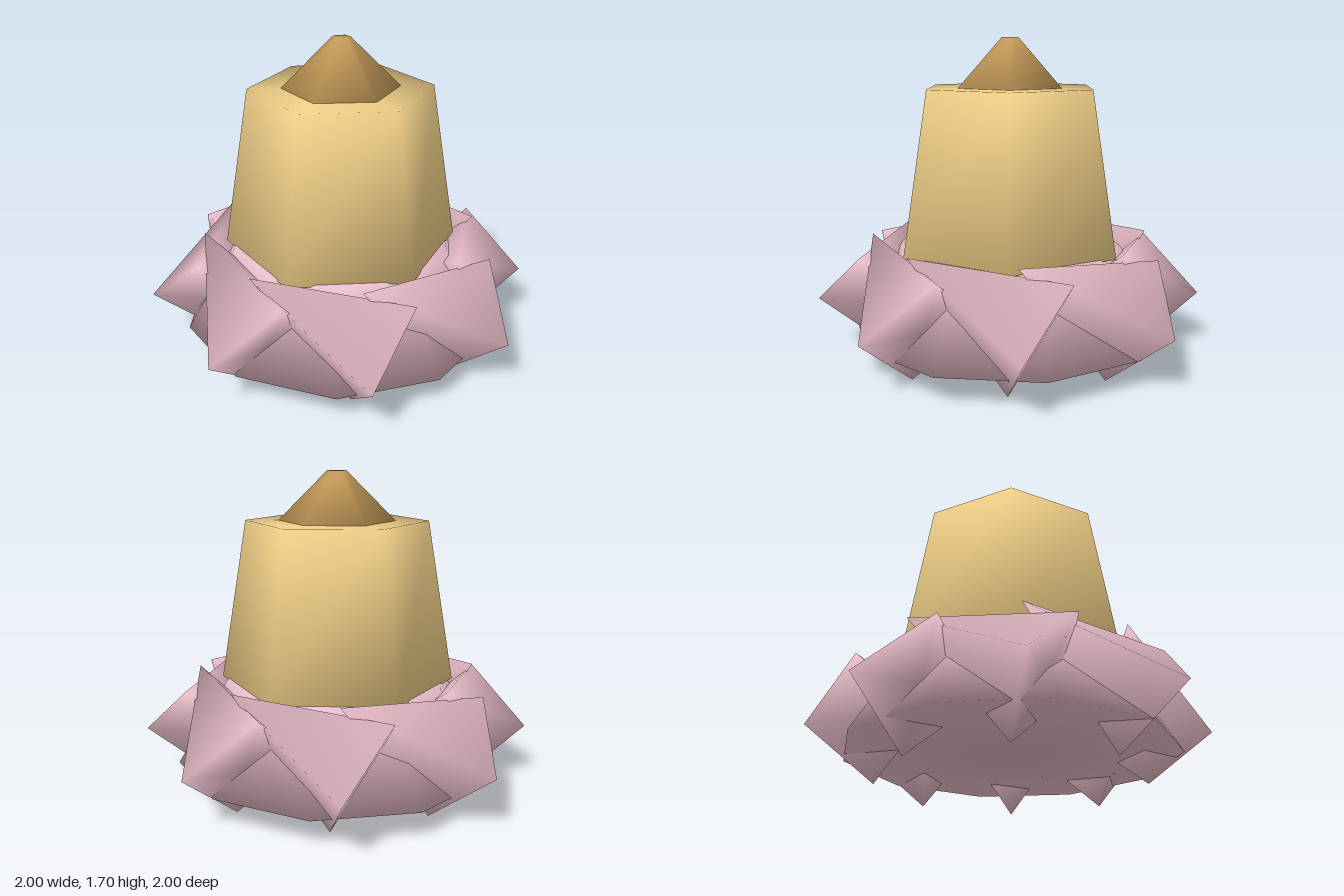
import * as THREE from 'three';
import { mergeVertices } from 'three/addons/utils/BufferGeometryUtils.js';

// Share corner normals so the low-poly solids shade softly across their edges
function soften(geometry) {
  geometry.deleteAttribute('normal');
  geometry.deleteAttribute('uv');
  const welded = mergeVertices(geometry, 1e-4);
  welded.computeVertexNormals();
  return welded;
}

// Tapered prism standing between two heights
function tier(name, topRadius, bottomRadius, bottomY, topY, sides, material) {
  const height = topY - bottomY;
  const mesh = new THREE.Mesh(
    soften(new THREE.CylinderGeometry(topRadius, bottomRadius, height, sides)), material);
  mesh.position.y = bottomY + height / 2;
  mesh.name = name;
  return mesh;
}

export function createModel() {
  const model = new THREE.Group();
  model.name = 'tieredBlossom';

  const material = (color) => new THREE.MeshStandardMaterial({ color });
  const pink = material(0xe8bcc8);
  const yellow = material(0xf5d38a);
  const brown = material(0xc49a58);

  // Stacked body: ten-sided base, six-sided core and pointed cap
  model.add(tier('base', 0.6, 0.87, 0.15, 0.6, 10, pink));
  model.add(tier('core', 0.485, 0.63, 0.59, 1.45, 6, yellow));
  model.add(tier('cap', 0.05, 0.31, 1.45, 1.71, 6, brown));

  // Ring of eight tilted four-sided cones swirling around the base
  const petals = new THREE.Group();
  petals.name = 'petals';
  const petalGeometry = soften(new THREE.ConeGeometry(0.332, 0.756, 4));
  const count = 8;
  for (let i = 0; i < count; i++) {
    const arm = new THREE.Group();
    arm.name = 'petalArm';
    arm.rotation.y = (i / count) * Math.PI * 2;
    const petal = new THREE.Mesh(petalGeometry, pink);
    petal.name = 'petal';
    petal.position.set(0, 0.48, 0.667);
    petal.rotation.z = THREE.MathUtils.degToRad(61.5);
    arm.add(petal);
    petals.add(arm);
  }
  model.add(petals);

  return model;
}
